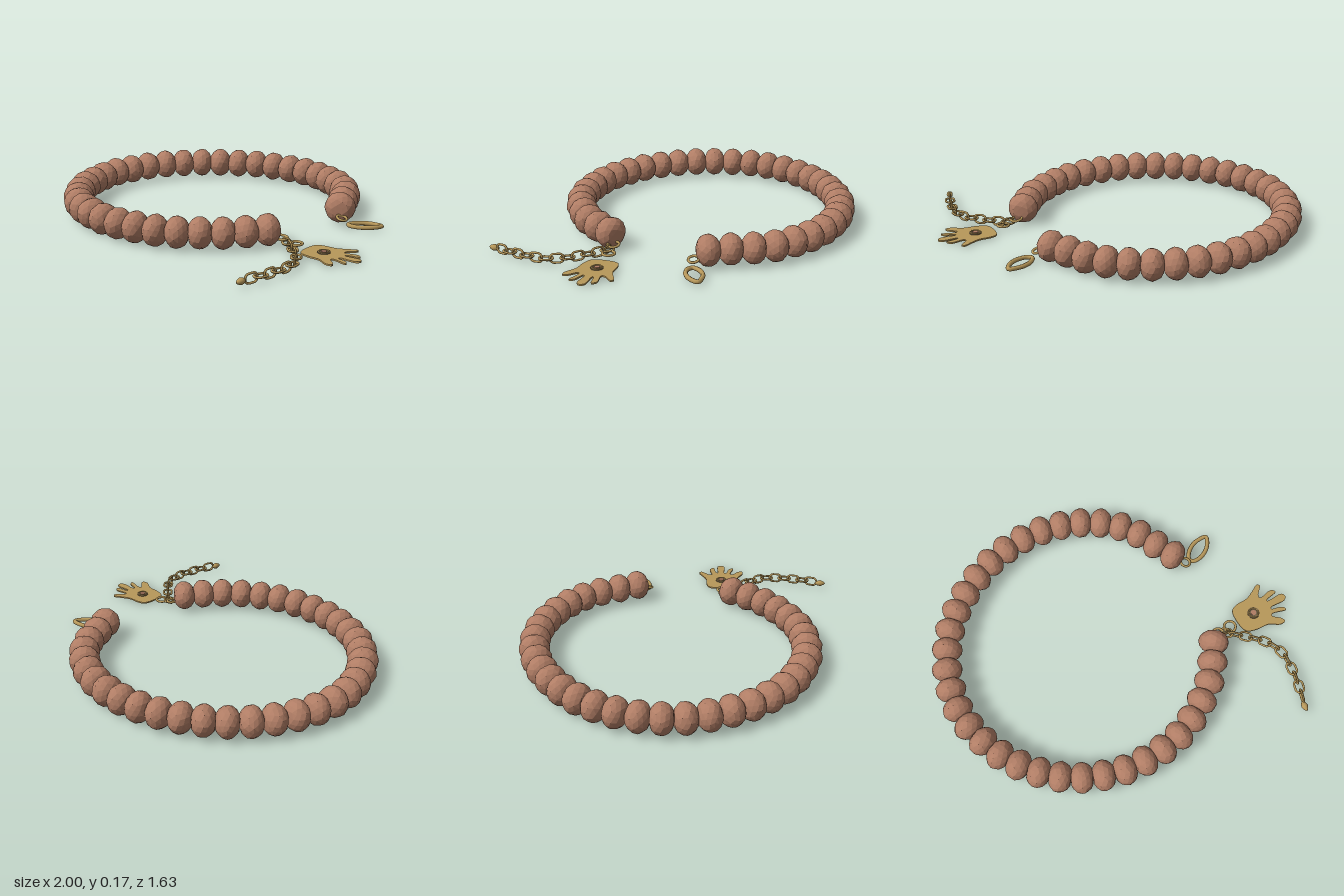
import * as THREE from 'three';

const wood = new THREE.MeshStandardMaterial({ name: 'wood brown', color: 0xb07d65, flatShading: true });
const brass = new THREE.MeshStandardMaterial({ name: 'brass', color: 0xb8985a });
const darkBrass = new THREE.MeshStandardMaterial({ name: 'dark brass', color: 0x75634a });

const UP = new THREE.Vector3(0, 1, 0);
const curveThrough = (pts, y, closed) =>
  new THREE.CatmullRomCurve3(pts.map(([x, z]) => new THREE.Vector3(x, y, z)), closed);

function add(parent, name, geometry, material, x = 0, y = 0, z = 0) {
  const mesh = new THREE.Mesh(geometry, material);
  mesh.name = name;
  mesh.position.set(x, y, z);
  parent.add(mesh);
  return mesh;
}

// Faceted bead, hole axis along y, with blunted ends and a slightly hewn surface
function beadGeometry() {
  const geo = new THREE.IcosahedronGeometry(1, 2);
  const p = geo.attributes.position;
  for (let i = 0; i < p.count; i++) {
    const x = p.getX(i), y = p.getY(i), z = p.getZ(i);
    const k = 0.083 * (1 + 0.025 * Math.sin(9 * x + 5 * y + 7 * z));
    const end = Math.max(-0.88, Math.min(0.88, y)) / 0.88;
    p.setXYZ(i, x * k, end * 0.058, z * k);
  }
  geo.computeVertexNormals();
  return geo;
}

// Oval chain link, long axis along x, lying flat
function linkGeometry() {
  const geo = new THREE.TorusGeometry(0.024, 0.006, 8, 20);
  geo.rotateX(Math.PI / 2);
  const p = geo.attributes.position;
  for (let i = 0; i < p.count; i++) p.setX(i, p.getX(i) + Math.sign(p.getX(i)) * 0.011);
  geo.computeVertexNormals();
  return geo;
}

function flatRing(parent, name, r, tube, x, y, z, material = brass) {
  return add(parent, name, new THREE.TorusGeometry(r, tube, 8, 24).rotateX(Math.PI / 2), material, x, y, z);
}

export function createModel() {
  const model = new THREE.Group();
  model.name = 'beadBracelet';

  // Beads spaced evenly along the open loop
  const beads = new THREE.Group();
  beads.name = 'beads';
  model.add(beads);
  const loop = curveThrough([
    [0.51, -0.30], [0.32, -0.58], [0.01, -0.73], [-0.33, -0.72], [-0.64, -0.56], [-0.85, -0.30],
    [-0.92, 0.04], [-0.81, 0.36], [-0.57, 0.60], [-0.24, 0.705], [0.10, 0.65], [0.37, 0.45], [0.49, 0.26],
  ], 0.092, false);
  const beadGeo = beadGeometry();
  const BEADS = 36;
  for (let i = 0; i < BEADS; i++) {
    const t = i / (BEADS - 1);
    const bead = add(beads, 'bead', beadGeo, wood);
    bead.position.copy(loop.getPointAt(t));
    bead.quaternion.setFromUnitVectors(UP, loop.getTangentAt(t));
    bead.rotateY(i * 2.4);
  }

  // Clasp: teardrop loop hung from a small ring
  const clasp = new THREE.Group();
  clasp.name = 'clasp';
  model.add(clasp);
  const drop = curveThrough([
    [0.60, -0.26], [0.62, -0.305], [0.665, -0.34], [0.71, -0.352], [0.748, -0.35],
    [0.74, -0.315], [0.71, -0.275], [0.665, -0.248], [0.62, -0.243],
  ], 0.025, true);
  add(clasp, 'claspLoop', new THREE.TubeGeometry(drop, 48, 0.012, 8, true), brass);
  flatRing(clasp, 'claspRing', 0.027, 0.007, 0.565, 0.055, -0.245).rotation.z = -0.3;

  // Jump rings at the other end
  flatRing(model, 'jumpRing', 0.03, 0.007, 0.545, 0.052, 0.215).rotation.z = -0.15;
  flatRing(model, 'charmRing', 0.032, 0.007, 0.625, 0.035, 0.20);
  const joint = add(model, 'jointLink', linkGeometry(), brass, 0.585, 0.04, 0.225);
  joint.rotation.set(Math.PI / 2, 0, 0);
  joint.scale.setScalar(0.8);

  // Hand charm
  const charm = new THREE.Group();
  charm.name = 'handCharm';
  model.add(charm);
  const outline = curveThrough([
    [0.678, 0.175], [0.685, 0.115], [0.72, 0.095], [0.79, 0.085], [0.835, 0.06], [0.88, 0.033], [0.893, 0.045],
    [0.857, 0.097], [0.862, 0.112], [0.935, 0.095], [0.957, 0.115], [0.89, 0.138], [0.89, 0.146],
    [0.98, 0.139], [0.994, 0.16], [0.98, 0.18], [0.893, 0.187], [0.888, 0.197], [0.95, 0.212], [0.962, 0.235],
    [0.88, 0.224], [0.872, 0.236], [0.915, 0.27], [0.924, 0.292], [0.895, 0.30], [0.83, 0.272],
    [0.76, 0.272], [0.70, 0.255],
  ], 0, true).getPoints(140).slice(0, -1).map((p) => new THREE.Vector2(p.x, p.z));
  const plate = new THREE.ExtrudeGeometry(new THREE.Shape(outline), { depth: 0.008, bevelEnabled: false });
  plate.rotateX(Math.PI / 2);
  add(charm, 'handPlate', plate, brass, 0, 0.02, 0);
  add(charm, 'eyeDisc', new THREE.CylinderGeometry(0.033, 0.033, 0.004, 28), darkBrass, 0.785, 0.022, 0.178);
  flatRing(charm, 'eyeRim', 0.026, 0.004, 0.785, 0.025, 0.178);
  add(charm, 'eyeCentre', new THREE.CylinderGeometry(0.015, 0.015, 0.005, 16), wood, 0.785, 0.025, 0.178);

  // Extension chain: links alternate flat and upright along a curve
  const chain = new THREE.Group();
  chain.name = 'extensionChain';
  model.add(chain);
  const path = curveThrough([
    [0.59, 0.225], [0.68, 0.29], [0.77, 0.37], [0.815, 0.45], [0.823, 0.545], [0.812, 0.66], [0.80, 0.72],
  ], 0.037, false);
  const linkGeo = linkGeometry();
  const LINKS = 12;
  for (let i = 0; i < LINKS; i++) {
    const t = i / (LINKS - 1);
    const dir = path.getTangentAt(t);
    const link = add(chain, 'chainLink', linkGeo, brass);
    link.position.copy(path.getPointAt(t));
    link.rotation.y = Math.atan2(-dir.z, dir.x);
    if (i % 2) link.rotateX(Math.PI / 2);
  }

  // Small teardrop weight on the end of the chain
  const profile = [[0, -0.032], [0.01, -0.022], [0.018, -0.003], [0.014, 0.014], [0.006, 0.025], [0, 0.032]];
  const tip = add(chain, 'chainDrop',
    new THREE.LatheGeometry(profile.map(([r, y]) => new THREE.Vector2(r, y)), 14), brass, 0.788, 0.033, 0.775);
  tip.rotation.set(-Math.PI / 2, 0, 0);
  return model;
}
